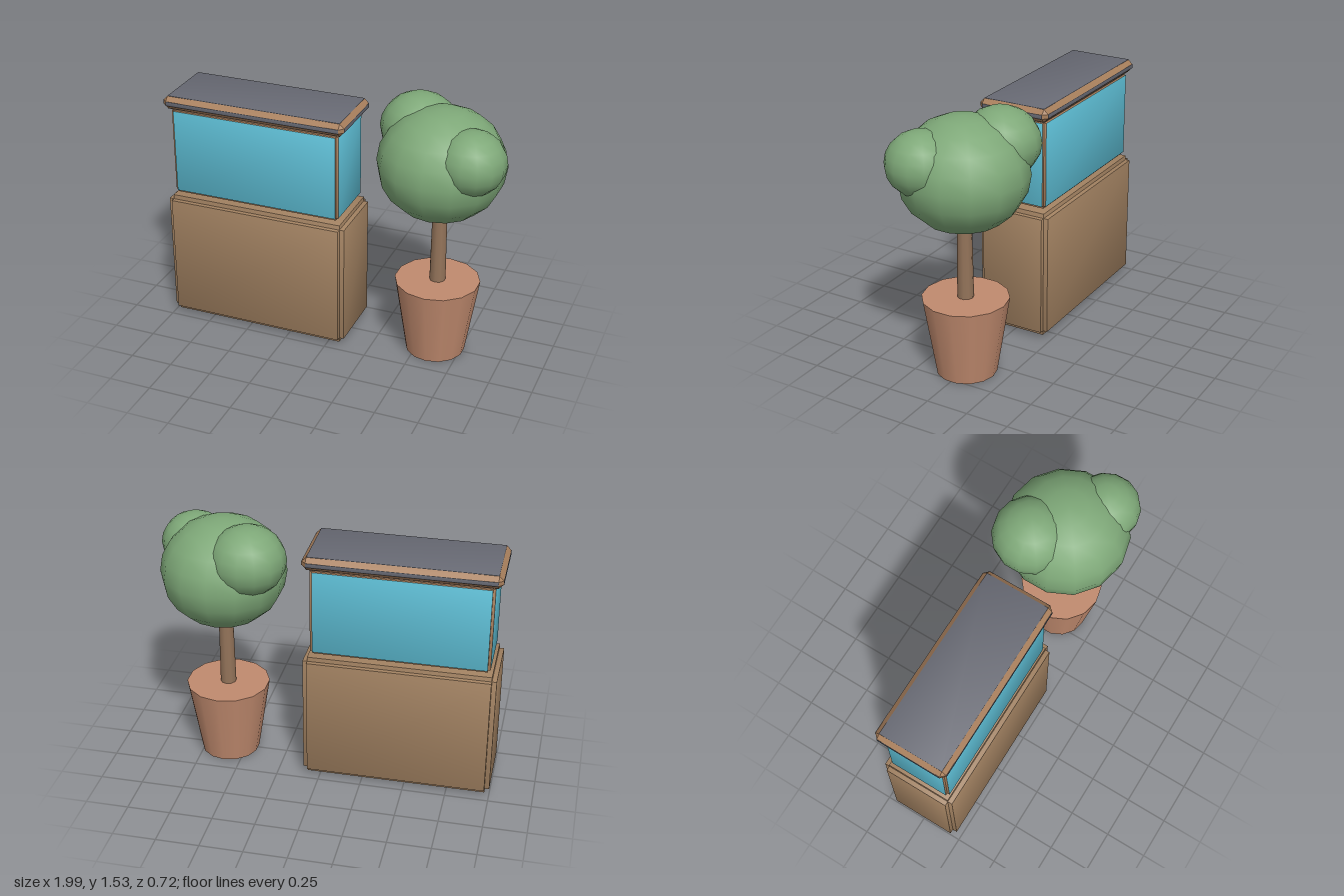
import * as THREE from 'three';
import { ConvexGeometry } from 'three/addons/geometries/ConvexGeometry.js';

const mat = (name, color) => {
  const m = new THREE.MeshStandardMaterial({ color });
  m.name = name;
  return m;
};

export function createModel() {
  const wood = mat('wood', 0xa08060);
  const rim = mat('rim wood', 0xa87f5c);
  const glass = mat('glass blue', 0x5ebfd6);
  const slate = mat('lid slate', 0x686a74);
  const clay = mat('terracotta', 0xc08a6e);
  const bark = mat('bark', 0x94745a);
  const leaf = mat('leaf green', 0x7ea878);

  const model = new THREE.Group();
  model.name = 'aquariumAndPottedTree';

  const add = (parent, name, geometry, material, x = 0, y = 0, z = 0) => {
    const mesh = new THREE.Mesh(geometry, material);
    mesh.name = name;
    mesh.position.set(x, y, z);
    parent.add(mesh);
    return mesh;
  };

  // Box whose normals lean outwards at the corners, for a softly swelling surface
  const softBox = (size, lean = 0.35) => {
    const g = new THREE.BoxGeometry(...size);
    const p = g.attributes.position, n = g.attributes.normal;
    const v = new THREE.Vector3(), f = new THREE.Vector3();
    for (let i = 0; i < p.count; i++) {
      f.fromBufferAttribute(n, i);
      v.fromBufferAttribute(p, i);
      v.set(Math.sign(v.x), Math.sign(v.y), Math.sign(v.z)).multiplyScalar(lean).add(f).normalize();
      n.setXYZ(i, v.x, v.y, v.z);
    }
    return g;
  };

  // Three crossed slabs give a block with stepped edges; only slab ends take the face colour
  const steppedBlock = (name, size, y, step, face, edge) => {
    const group = new THREE.Group();
    group.name = name;
    group.position.set(-0.45, y, 0);
    ['side', 'vertical', 'front'].forEach((label, axis) => {
      const dims = size.map((s, i) => (i === axis ? s : s - 2 * step));
      const mats = [0, 1, 2, 3, 4, 5].map((i) => (i >> 1 === axis ? face : edge));
      add(group, label + 'Slab', softBox(dims), mats);
    });
    model.add(group);
  };

  steppedBlock('cabinet', [1.1, 0.775, 0.44], 0.403, 0.027, wood, wood);
  steppedBlock('tank', [1.02, 0.53, 0.38], 1.075, 0.015, glass, rim);

  // Lid: chamfered rim with thin slate panels on its faces
  const lid = new THREE.Group();
  lid.name = 'lid';
  lid.position.set(-0.45, 1.378, 0);
  model.add(lid);
  const half = [0.549, 0.037, 0.216], cut = 0.025, points = [];
  for (let axis = 0; axis < 3; axis++) {
    for (let corner = 0; corner < 8; corner++) {
      const c = half.map((h, i) => (corner >> i & 1 ? 1 : -1) * (i === axis ? h : h - cut));
      points.push(new THREE.Vector3(...c));
    }
  }
  add(lid, 'lidRim', new ConvexGeometry(points), rim);
  ['lidSidePanels', 'lidTopAndBottomPanels', 'lidFrontAndBackPanels'].forEach((name, axis) => {
    const dims = half.map((h, i) => 2 * (i === axis ? h + 0.002 : h - cut));
    add(lid, name, softBox(dims, 0.25), slate);
  });

  // Potted tree
  const tree = new THREE.Group();
  tree.name = 'pottedTree';
  tree.position.x = 0.6;
  model.add(tree);
  add(tree, 'pot', new THREE.CylinderGeometry(0.245, 0.172, 0.458, 14), clay, 0, 0.229, 0);
  add(tree, 'trunk', new THREE.CylinderGeometry(0.04, 0.046, 0.6, 10), bark, 0, 0.75, 0);

  // Foliage: name, radius, flattening, position
  [
    ['crown', 0.362, 0.89, 0, 1.19, 0],
    ['backLeafCluster', 0.222, 0.9, -0.175, 1.33, -0.125],
    ['frontLeafCluster', 0.197, 0.92, 0.2, 1.287, 0.13],
  ].forEach(([name, r, flat, x, y, z]) => {
    const ball = new THREE.SphereGeometry(r, 14, 10).rotateY(Math.PI / 2);
    add(tree, name, ball, leaf, x, y, z).scale.y = flat;
  });

  return model;
}
